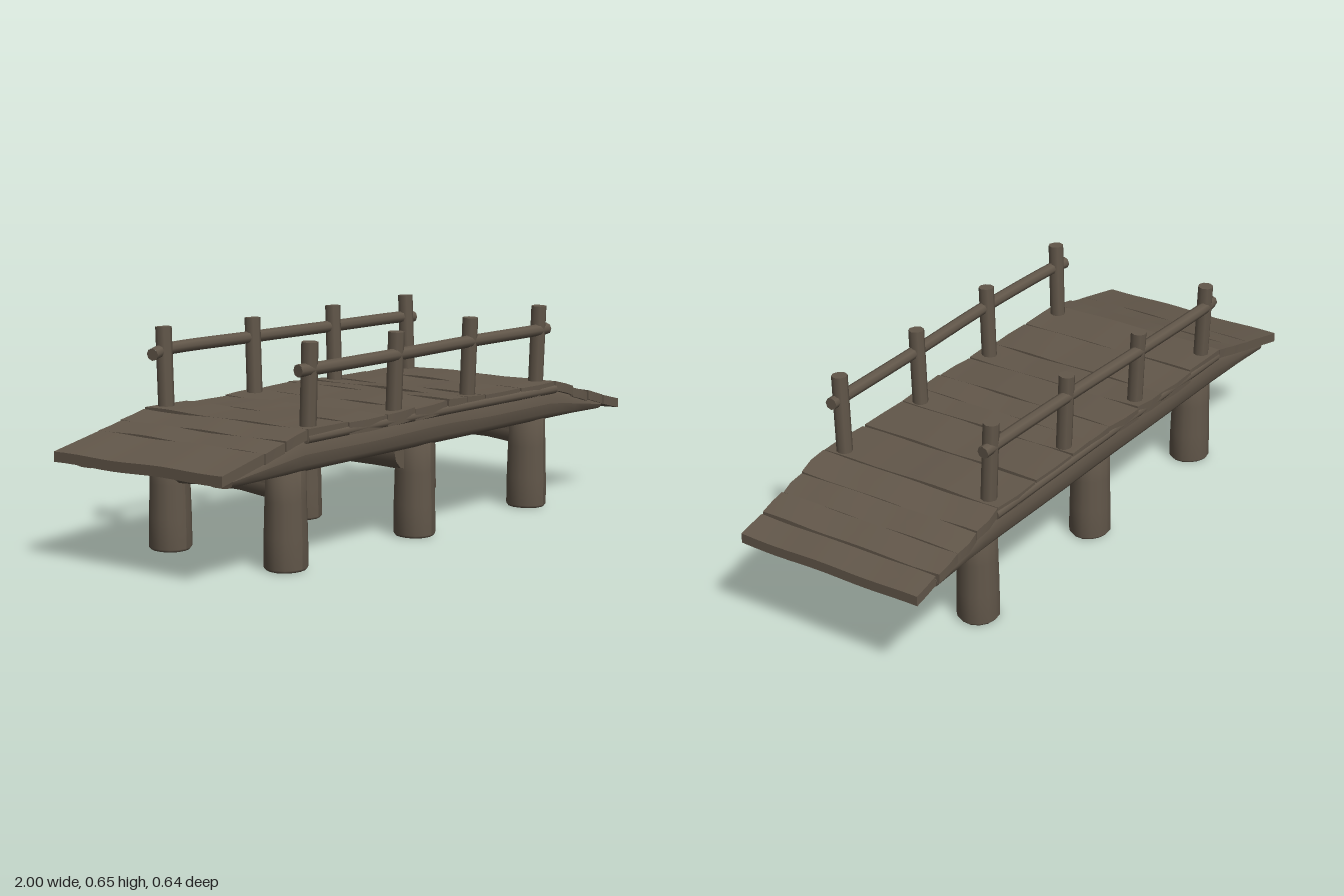
import * as THREE from 'three';

const wood = new THREE.MeshStandardMaterial({ color: 0x62574a });
wood.name = 'weathered wood';

// Height of the deck's upper face along the bridge
const profile = [[-1, 0.33], [-0.8, 0.372], [-0.63, 0.408], [-0.3, 0.404], [0.03, 0.418],
  [0.25, 0.405], [0.62, 0.407], [0.9, 0.332], [1, 0.308]];
function deckY(x) {
  let i = 0;
  while (i < profile.length - 2 && x > profile[i + 1][0]) i++;
  const [x0, y0] = profile[i], [x1, y1] = profile[i + 1];
  return y0 + (y1 - y0) * (x - x0) / (x1 - x0);
}

// Repeatable wobble in the range -1..1
const wobble = (a, b) => Math.sin(a * 12.7 + b * 4.1) * 0.6 + Math.sin(a * 5.3 - b * 9.2) * 0.4;

function reshape(geometry, rule) {
  const p = geometry.attributes.position, v = new THREE.Vector3();
  for (let i = 0; i < p.count; i++) {
    v.fromBufferAttribute(p, i);
    rule(v);
    p.setXYZ(i, v.x, v.y, v.z);
  }
  geometry.computeVertexNormals();
  return geometry;
}

function add(parent, name, geometry) {
  const mesh = new THREE.Mesh(geometry, wood);
  mesh.name = name;
  parent.add(mesh);
  return mesh;
}

// Straight log between two points
function log(parent, name, a, b, r0, r1, sides = 12) {
  const dir = b.clone().sub(a);
  const mesh = add(parent, name, new THREE.CylinderGeometry(r1, r0, dir.length(), sides, 1));
  mesh.position.copy(a).add(b).multiplyScalar(0.5);
  mesh.quaternion.setFromUnitVectors(new THREE.Vector3(0, 1, 0), dir.normalize());
}

// Wavy pole with closed ends
function pole(parent, name, points, radius) {
  const curve = new THREE.CatmullRomCurve3(points);
  add(parent, name, new THREE.TubeGeometry(curve, 24, radius, 8));
  [0, 1].forEach((t) => {
    const cap = add(parent, name + 'End', new THREE.CircleGeometry(radius, 8));
    cap.position.copy(curve.getPoint(t));
    cap.quaternion.setFromUnitVectors(new THREE.Vector3(0, 0, 1), curve.getTangent(t).multiplyScalar(t ? 1 : -1));
  });
}

const V = (x, y, z) => new THREE.Vector3(x, y, z);

export function createModel() {
  const bridge = new THREE.Group();
  bridge.name = 'footbridge';

  // Deck planks: uneven boards, mostly touching, with cracks and a few open gaps
  const planks = [[-1, -0.82], [-0.82, -0.73], [-0.73, -0.632], [-0.632, -0.45], [-0.45, -0.27],
    [-0.27, -0.135], [-0.135, 0.028], [0.032, 0.132], [0.134, 0.227], [0.232, 0.419], [0.426, 0.613],
    [0.616, 0.72], [0.72, 0.81], [0.81, 0.901], [0.909, 1]];
  const deck = new THREE.Group();
  deck.name = 'deck';
  bridge.add(deck);
  planks.forEach(([x0, x1], i) => {
    const level = x0 > -0.64 && x1 < 0.62;
    const half = 0.315 + 0.006 * wobble(i, 2);
    const lift = (level ? 0.006 : 0.002) * wobble(i, 5);
    const thick = level ? 0.036 : 0.03;
    const geo = new THREE.BoxGeometry(x1 - x0, thick, half * 2, 2, 1, 14);
    reshape(geo, (v) => {
      const edge = Math.sign(Math.round(v.x * 1000));
      const x = v.x + (x0 + x1) / 2;
      const seam = i + (edge > 0 ? 1 : 0);
      const outer = seam === 0 || seam === planks.length;
      const crack = outer ? 0 : 0.004 * Math.max(0, wobble(v.z * 1.2, seam));
      v.y += deckY(x) - thick / 2 + lift + 0.003 * wobble(v.z * 1.5, i);
      v.z += 0.004 * wobble(i, edge) * Math.sign(v.z);
      v.x = x - edge * crack;
    });
    add(deck, 'plank', geo);
  });

  [1, -1].forEach((s) => {
    // Side beam: flat underneath, its top follows the deck
    const beam = new THREE.CylinderGeometry(1, 1, 1.84, 14, 24);
    beam.rotateZ(-Math.PI / 2);
    reshape(beam, (v) => {
      v.x -= 0.02;
      const low = 0.282, high = Math.max(deckY(v.x) - 0.014, low + 0.025);
      const soft = (t) => Math.sign(t) * Math.pow(Math.abs(t), 0.7);
      v.y = (low + high) / 2 + soft(v.y) * (high - low) / 2;
      v.z = s * 0.255 + soft(v.z) * 0.052;
    });
    add(bridge, 'sideBeam', beam);

    // Thin pole along the edge of the level planks
    pole(bridge, 'edgePole', [-0.63, -0.3, 0, 0.3, 0.62].map((x, i) =>
      V(x, 0.386 + 0.004 * wobble(i, s), s * 0.306)), 0.015);

    // Handrail posts, leaning slightly outward
    const posts = s > 0
      ? [[-0.58, 0.277], [-0.19, 0.282], [0.2, 0.268], [0.585, 0.262]]
      : [[-0.575, 0.284], [-0.18, 0.28], [0.2, 0.268], [0.58, 0.262]];
    const tops = [0.652, 0.644, 0.65, 0.653];
    posts.forEach(([x, z], i) => {
      log(bridge, 'railPost', V(x, 0.36, s * (z - 0.006)), V(x + 0.006 * wobble(i, s), tops[i], s * (z + 0.007)), 0.0245, 0.0245, 8);
    });

    // Handrail, threading past the outer side of the posts
    const rail = [V(-0.632, 0.574, s * 0.28)];
    posts.forEach(([x, z], i) => rail.push(V(x, 0.578 + 0.006 * wobble(i, s), s * (z + 0.01))));
    rail.push(V(0.625, 0.576, s * 0.27));
    pole(bridge, 'handrail', rail, 0.019);
  });

  // Support frames: two thick legs joined by a cross beam
  [-0.634, -0.025, 0.577].forEach((x, k) => {
    const frame = new THREE.Group();
    frame.name = 'supportFrame';
    bridge.add(frame);
    [0.233, -0.214].forEach((z, j) => {
      const outline = [[0, 0], [0.058, 0], [0.065, 0.008], [0.064, 0.1], [0.061, 0.2], [0.059, 0.31], [0, 0.31]];
      const leg = new THREE.LatheGeometry(outline.map(([r, y]) => new THREE.Vector2(r, y)), 14);
      reshape(leg, (v) => {
        const f = 1 + 0.03 * Math.sin(3 * Math.atan2(v.z, v.x) + k + j);
        v.x *= f;
        v.z *= f;
      });
      add(frame, 'leg', leg).position.set(x, 0, z);
    });
    // The middle beam is thicker and sits off centre
    const middle = k === 1;
    const beamX = middle ? x - 0.045 : x;
    const radius = middle ? 0.06 : 0.046;
    log(frame, 'crossBeam', V(beamX, 0.21 + radius, 0.235), V(beamX, 0.21 + radius, -0.22), radius, radius);
    // Short thickening where the beam meets each leg
    [1, -1].forEach((s) => log(frame, 'beamRoot', V(x, 0.245, s * 0.2), V(beamX, 0.257, s * 0.05), 0.047, 0.044));
  });

  return bridge;
}
